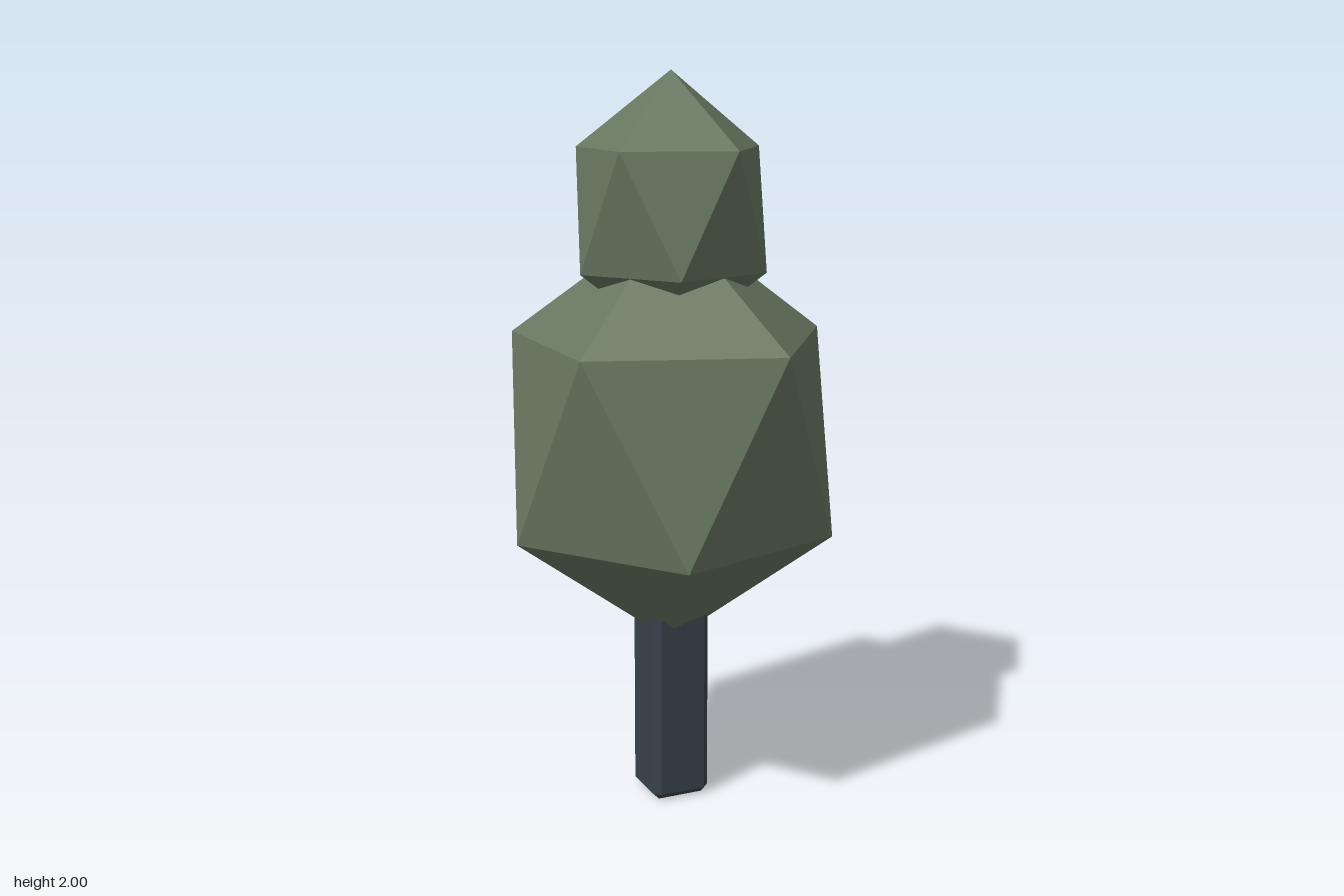
import * as THREE from 'three';
import { ConvexGeometry } from 'three/addons/geometries/ConvexGeometry.js';

const leafMaterial = new THREE.MeshStandardMaterial({ color: 0x66765f, flatShading: true });
const barkMaterial = new THREE.MeshStandardMaterial({ color: 0x39424b, flatShading: true });

// Low-poly foliage: an icosahedron turned to stand on one corner, then stretched in y
function foliage(name, y, radius, halfHeight) {
  const geometry = new THREE.IcosahedronGeometry(1, 0);
  geometry.rotateZ(-Math.atan2(2, 1 + Math.sqrt(5)));
  geometry.scale(radius, halfHeight, radius);
  const mesh = new THREE.Mesh(geometry, leafMaterial);
  mesh.name = name;
  mesh.position.y = y;
  return mesh;
}

// Box with every edge cut flat: each corner is split into three points
function chamferedBox(w, h, d, c) {
  const points = [];
  for (const sx of [-1, 1]) for (const sy of [-1, 1]) for (const sz of [-1, 1]) {
    for (let axis = 0; axis < 3; axis++) {
      points.push(new THREE.Vector3(
        sx * (w / 2 - (axis === 0 ? 0 : c)),
        sy * (h / 2 - (axis === 1 ? 0 : c)),
        sz * (d / 2 - (axis === 2 ? 0 : c))
      ));
    }
  }
  return new ConvexGeometry(points);
}

export function createModel() {
  const tree = new THREE.Group();
  tree.name = 'tree';

  // Square trunk, its top hidden inside the foliage
  const trunkHeight = 0.7;
  const trunk = new THREE.Mesh(chamferedBox(0.166, trunkHeight, 0.166, 0.018), barkMaterial);
  trunk.name = 'trunk';
  trunk.position.y = trunkHeight / 2;
  tree.add(trunk);

  // Large lower crown and small upper crown
  const ringToRadius = Math.sqrt(5) / 2;
  tree.add(foliage('lowerFoliage', 1.035, 0.446 * ringToRadius, 0.594));
  tree.add(foliage('upperFoliage', 1.64, 0.258 * ringToRadius, 0.36));

  return tree;
}
